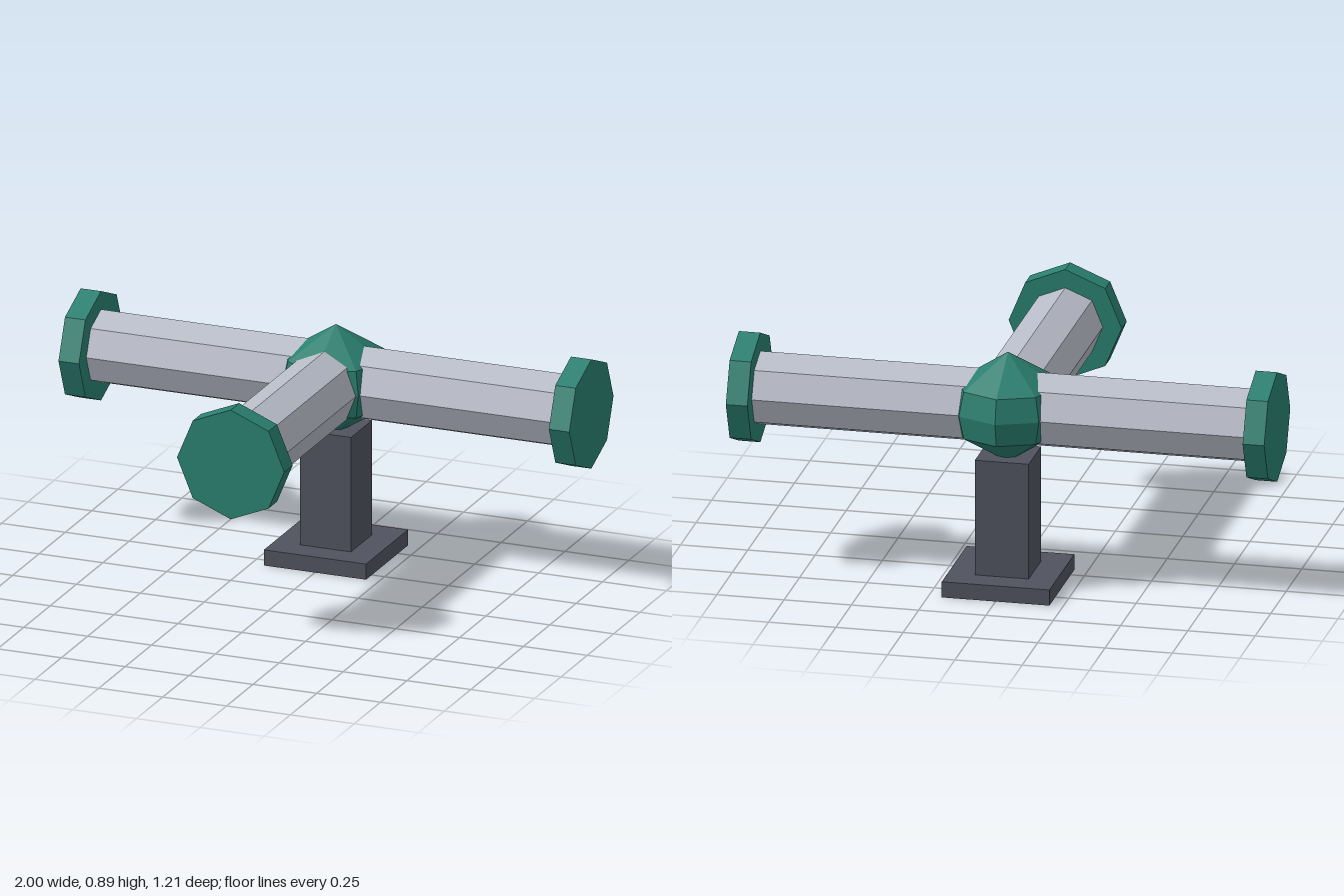
import * as THREE from 'three';

const SIDES = 8;
const AXIS_Y = 0.68, AXIS_Z = -0.395; // where the three pipes meet

export function createModel() {
  const model = new THREE.Group();
  model.name = 'pipeTee';

  const flat = (name, color) => {
    const m = new THREE.MeshStandardMaterial({ color, flatShading: true });
    m.name = name;
    return m;
  };
  const pipeGrey = flat('pipeGrey', 0xb8bcc8);
  const green = flat('fittingGreen', 0x2a7f70);
  const slate = flat('supportSlate', 0x50535f);

  const add = (parent, name, geometry, material, x, y, z) => {
    const mesh = new THREE.Mesh(geometry, material);
    mesh.name = name;
    mesh.position.set(x, y, z);
    parent.add(mesh);
    return mesh;
  };

  // Three pipe arms, each with an end flange, built along +z then turned
  const arm = (name, angle) => {
    const group = new THREE.Group();
    group.name = name;
    const prism = (r, length) =>
      new THREE.CylinderGeometry(r, r, length, SIDES).rotateX(Math.PI / 2);
    add(group, 'pipe', prism(0.14, 0.94), pipeGrey, 0, 0, 0.47);
    add(group, 'flange', prism(0.21, 0.08), green, 0, 0, 0.96);
    group.position.set(0, AXIS_Y, AXIS_Z);
    group.rotation.y = angle;
    model.add(group);
  };
  arm('leftArm', Math.PI / 2);
  arm('rightArm', -Math.PI / 2);
  arm('frontArm', 0);

  // Faceted joint where the arms meet
  const profile = [[0, -0.21], [0.189, -0.09], [0.21, 0], [0.189, 0.09], [0, 0.21]]
    .map(([r, y]) => new THREE.Vector2(r, y));
  add(model, 'joint', new THREE.LatheGeometry(profile, SIDES), green, 0, AXIS_Y, AXIS_Z);

  // Support post and foot plate
  add(model, 'post', new THREE.BoxGeometry(0.2, 0.46, 0.2), slate, 0, 0.27, AXIS_Z);
  add(model, 'footPlate', new THREE.BoxGeometry(0.4, 0.06, 0.4), slate, 0, 0.03, AXIS_Z);

  return model;
}
